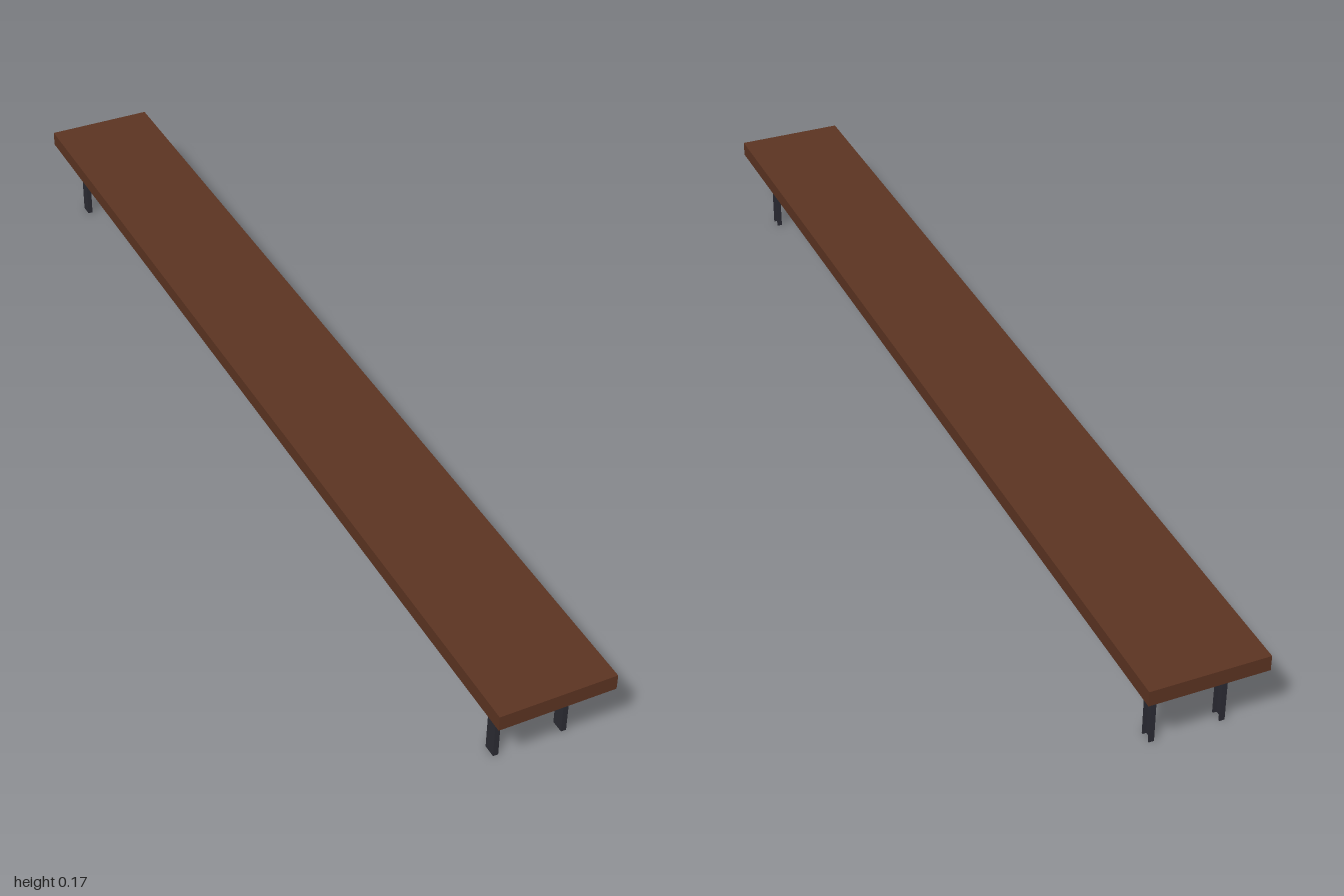
import * as THREE from 'three';

export function createModel() {
  const wood = new THREE.MeshStandardMaterial({ color: 0x5c3422 });
  wood.name = 'brown wood';
  const metal = new THREE.MeshStandardMaterial({ color: 0x2b2b33 });
  metal.name = 'dark metal';

  const topY = 0.175, thickness = 0.03;
  const legHeight = topY - thickness;

  const bench = new THREE.Group();
  bench.name = 'bench';

  // Long plank seat
  const seat = new THREE.Mesh(new THREE.BoxGeometry(0.2215, thickness, 2.025), wood);
  seat.name = 'seat';
  seat.position.y = topY - thickness / 2;
  bench.add(seat);

  // Steel channel section, open towards +x
  const w = 0.005, d = 0.0125, t = 0.003;
  const section = new THREE.Shape([
    [-w, -d], [w, -d], [w, -d + t], [-w + t, -d + t],
    [-w + t, d - t], [w, d - t], [w, d], [-w, d],
  ].map(([x, y]) => new THREE.Vector2(x, y)));
  const legGeometry = new THREE.ExtrudeGeometry(section, { depth: legHeight, bevelEnabled: false });
  legGeometry.rotateX(-Math.PI / 2);

  // A pair of legs near each end
  for (const end of [1, -1]) {
    for (const side of [1, -1]) {
      const leg = new THREE.Mesh(legGeometry, metal);
      leg.name = (end > 0 ? 'front' : 'back') + (side > 0 ? 'Left' : 'Right') + 'Leg';
      leg.position.set(side * 0.066, 0, end * 0.933 - 0.005);
      bench.add(leg);
    }
  }

  // The bench stands turned slightly about the vertical
  bench.rotation.y = -0.3;
  const model = new THREE.Group();
  model.name = 'benchModel';
  model.add(bench);
  return model;
}
